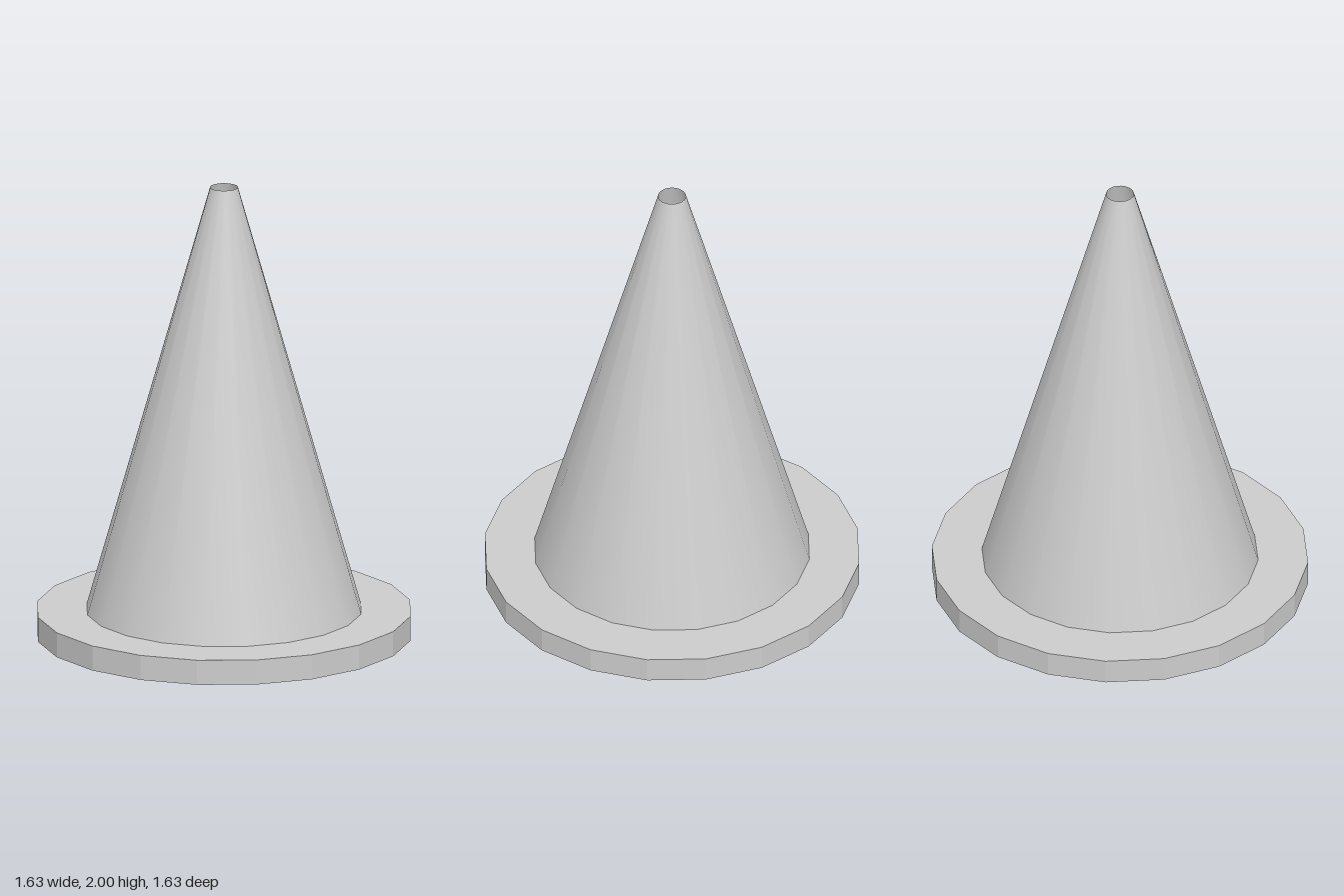
import * as THREE from 'three';

const SIDES = 20;
const BASE_HEIGHT = 0.11;

export function createModel() {
  const group = new THREE.Group();
  group.name = 'trafficCone';

  // Flat faceted disc the cone stands on
  const base = new THREE.Mesh(
    new THREE.CylinderGeometry(0.813, 0.813, BASE_HEIGHT, SIDES),
    new THREE.MeshStandardMaterial({ color: 0xcccccc, flatShading: true })
  );
  base.name = 'base';
  base.position.y = BASE_HEIGHT / 2;
  group.add(base);

  // Smooth tapered body, hollow and open at the tip
  const height = 2 - BASE_HEIGHT;
  const body = new THREE.Mesh(
    new THREE.CylinderGeometry(0.06, 0.597, height, SIDES, 1, true),
    new THREE.MeshStandardMaterial({ color: 0xcccccc, side: THREE.DoubleSide })
  );
  body.name = 'coneBody';
  body.position.y = BASE_HEIGHT + height / 2;
  group.add(body);

  return group;
}
